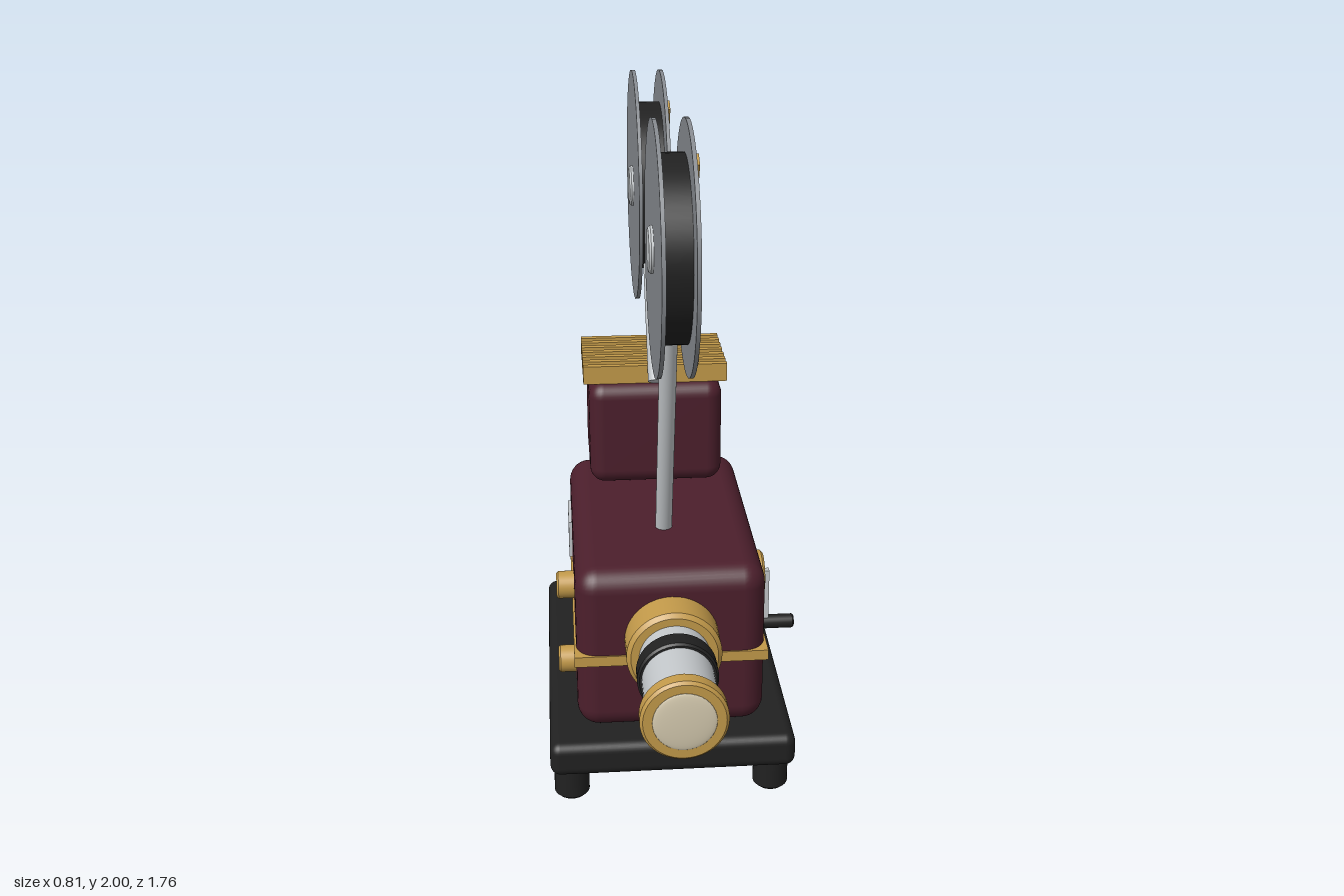
import * as THREE from 'three';
import { RoundedBoxGeometry } from 'three/addons/geometries/RoundedBoxGeometry.js';

const CX = -0.043; // centre plane of body, lens and reels

export function createModel() {
  const mat = (name, color) => {
    const m = new THREE.MeshStandardMaterial({ color });
    m.name = name;
    return m;
  };
  const maroon = mat('maroon enamel', 0x4c1f2c);
  const black = mat('black', 0x212121);
  const brass = mat('brass', 0xc39a4a);
  const silver = mat('silver', 0xc4c8cb);
  const steel = mat('reel steel', 0x868a8f);
  const glass = mat('lens glass', 0xd6cbb0);

  const model = new THREE.Group();
  model.name = 'filmProjector';

  const add = (name, geo, material, x, y, z, parent = model) => {
    const mesh = new THREE.Mesh(geo, material);
    mesh.name = name;
    mesh.position.set(x, y, z);
    parent.add(mesh);
    return mesh;
  };
  const rounded = (w, h, d, r) => new RoundedBoxGeometry(w, h, d, 4, r);

  // Solid disc with a small bevel, centred on its axis; axis is 'x', 'y' or 'z'
  const disc = (r, h, axis, bevel = 0.008, seg = 40) => {
    const b = bevel, t = h / 2;
    const rings = [[0, -t], [r - b, -t], [r, -t + b], [r, t - b], [r - b, t], [0, t]];
    // doubled points keep each band's edge crisp
    const pts = [];
    rings.forEach(([px, py], i) => {
      pts.push(new THREE.Vector2(px, py));
      if (i > 0 && i < rings.length - 1) pts.push(new THREE.Vector2(px, py));
    });
    const geo = new THREE.LatheGeometry(pts, seg);
    if (axis === 'x') geo.rotateZ(-Math.PI / 2);
    if (axis === 'z') geo.rotateX(Math.PI / 2);
    return geo;
  };
  const cyl = (r, h, axis, seg = 48) => {
    const geo = new THREE.CylinderGeometry(r, r, h, seg);
    if (axis === 'x') geo.rotateZ(-Math.PI / 2);
    if (axis === 'z') geo.rotateX(Math.PI / 2);
    return geo;
  };

  // Base plate and feet
  add('basePlate', rounded(0.72, 0.105, 1.06, 0.03), black, CX, 0.163, -0.012);
  for (const sx of [-1, 1]) for (const sz of [-1, 1])
    add('foot', disc(0.052, 0.115, 'y', 0.01, 28), black, CX + sx * 0.298, 0.0575, -0.006 + sz * 0.427);

  // Body with its trim band
  add('body', rounded(0.55, 0.512, 0.892, 0.065), maroon, CX, 0.469, -0.008);
  add('trimBand', new THREE.BoxGeometry(0.562, 0.032, 0.902), brass, CX, 0.451, -0.008);

  // Lamp house with cooling fins
  add('lampHouse', rounded(0.42, 0.336, 0.378, 0.048), maroon, CX, 0.897, -0.368);
  for (let i = 0; i < 7; i++)
    add('coolingFin', new THREE.BoxGeometry(0.452, 0.058, 0.022), brass, CX, 1.091, -0.222 - i * 0.047);

  // Lens assembly along +z
  const lens = new THREE.Group();
  lens.name = 'lens';
  lens.position.set(CX, 0.515, 0);
  model.add(lens);
  add('lensFlange', disc(0.136, 0.13, 'z', 0.012, 48), brass, 0, 0, 0.48, lens);
  add('lensBarrel', cyl(0.101, 0.36, 'z'), silver, 0, 0, 0.67, lens);
  add('focusRing', disc(0.113, 0.064, 'z', 0.006, 48), black, 0, 0, 0.633, lens);
  add('lensRim', disc(0.119, 0.052, 'z', 0.008, 48), brass, 0, 0, 0.847, lens);
  const dome = new THREE.SphereGeometry(0.086, 36, 10, 0, Math.PI * 2, 0, Math.PI / 2);
  dome.rotateX(Math.PI / 2).scale(1, 1, 0.1);
  add('lensGlass', dome, glass, 0, 0, 0.873, lens);

  // Reels: two flanges, film roll, hub and three spokes on the +x side
  const addReel = (name, y, z, r, filmR, spokeLength) => {
    const reel = new THREE.Group();
    reel.name = name;
    reel.position.set(CX, y, z);
    model.add(reel);
    for (const s of [-1, 1])
      add('reelFlange', cyl(r, 0.011, 'x', 64), steel, s * 0.043, 0, 0, reel);
    add('filmRoll', cyl(filmR, 0.076, 'x', 56), black, 0, 0, 0, reel);
    add('hub', disc(0.063, 0.122, 'x', 0.006, 32), silver, 0, 0, 0, reel);
    for (let i = 0; i < 3; i++) {
      const geo = new THREE.BoxGeometry(0.014, 0.042, spokeLength);
      geo.translate(0, 0, -spokeLength / 2).rotateX(i * Math.PI * 2 / 3);
      add('spoke', geo, brass, 0.051, 0, 0, reel);
    }
  };
  addReel('frontReel', 1.663, 0.42, 0.338, 0.25, 0.308);
  addReel('rearReel', 1.621, -0.518, 0.36, 0.262, 0.325);

  // Arms carrying the reels
  const addArm = (name, y0, z0, y1, z1) => {
    const from = new THREE.Vector3(CX, y0, z0), to = new THREE.Vector3(CX, y1, z1);
    const arm = add(name, cyl(0.025, from.distanceTo(to), 'y', 24), silver, 0, 0, 0);
    arm.position.copy(from).lerp(to, 0.5);
    arm.quaternion.setFromUnitVectors(new THREE.Vector3(0, 1, 0), to.sub(from).normalize());
  };
  addArm('frontArm', 0.7, 0.12, 1.663, 0.42);
  addArm('rearArm', 1.078, -0.18, 1.621, -0.518);

  // Hand crank on the +x side
  const crank = new THREE.Group();
  crank.name = 'crank';
  crank.position.set(0, 0, -0.115);
  model.add(crank);
  add('crankDisc', disc(0.074, 0.08, 'x', 0.008), brass, 0.257, 0.43, 0, crank);
  add('crankArm', new THREE.BoxGeometry(0.022, 0.195, 0.024), silver, 0.307, 0.342, 0, crank);
  add('crankHandle', disc(0.023, 0.105, 'x', 0.005, 24), black, 0.35, 0.248, 0, crank);

  // Knobs and small plate on the -x side
  for (const y of [0.578, 0.325])
    add('knob', disc(0.041, 0.065, 'x', 0.006, 32), brass, -0.338, y, 0.2);
  add('sidePlate', new THREE.BoxGeometry(0.016, 0.12, 0.165), silver, -0.32, 0.58, -0.183);

  return model;
}
